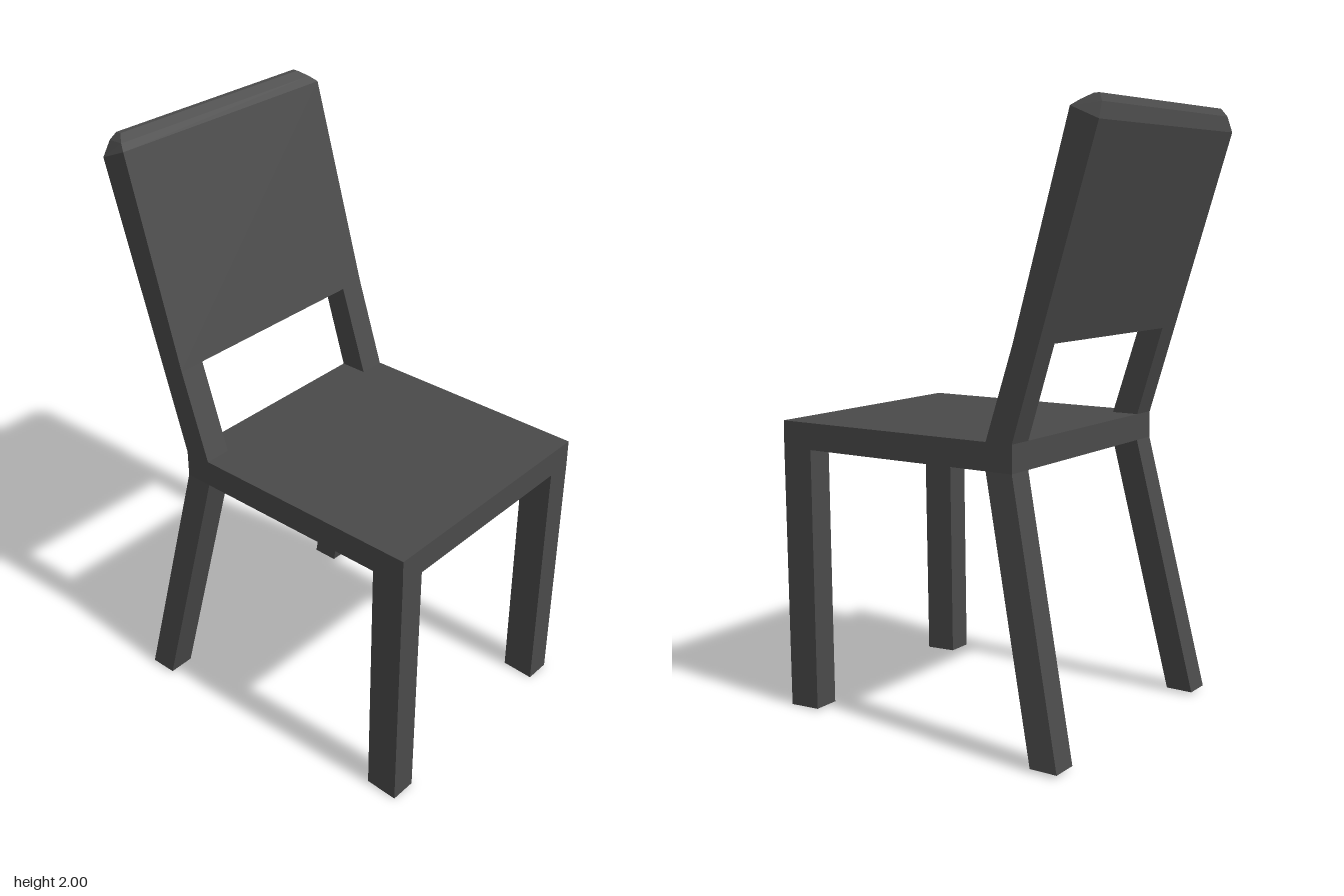
import * as THREE from 'three';

const material = new THREE.MeshStandardMaterial({ color: 0x4a4a4a, flatShading: true });

// Four-sided section: back edge at (xb, yb), front edge at (xf, yf), spanning z0..z1
function section(xb, yb, xf, yf, z0, z1, zf0 = z0, zf1 = z1) {
  return [[xb, yb, z1], [xf, yf, zf1], [xf, yf, zf0], [xb, yb, z0]];
}

// Joins sections from bottom to top and closes both ends
function loft(name, sections) {
  const pos = [];
  const quad = (a, b, c, d) => pos.push(...a, ...b, ...c, ...a, ...c, ...d);
  for (let s = 0; s < sections.length - 1; s++) {
    const lo = sections[s], hi = sections[s + 1];
    for (let i = 0; i < 4; i++) {
      const j = (i + 1) % 4;
      quad(lo[i], lo[j], hi[j], hi[i]);
    }
  }
  const b = sections[0], t = sections[sections.length - 1];
  quad(b[3], b[2], b[1], b[0]);
  quad(t[0], t[1], t[2], t[3]);
  const geo = new THREE.BufferGeometry();
  geo.setAttribute('position', new THREE.Float32BufferAttribute(pos, 3));
  geo.computeVertexNormals();
  const mesh = new THREE.Mesh(geo, material);
  mesh.name = name;
  return mesh;
}

export function createModel() {
  const chair = new THREE.Group();
  chair.name = 'chair';
  const W = 0.436, IN = 0.345;

  // Seat slab
  chair.add(loft('seat', [
    section(-0.31, 0.89, 0.6, 0.89, -W, W),
    section(-0.31, 0.98, 0.6, 0.98, -W, W),
  ]));

  for (const side of [1, -1]) {
    const label = side > 0 ? 'Left' : 'Right';
    const span = (a, b) => (side > 0 ? [a, b] : [-b, -a]);

    // Front leg, leaning very slightly back
    chair.add(loft('frontLeg' + label, [
      section(0.475, 0.005, 0.588, 0, ...span(IN, W)),
      section(0.485, 0.89, 0.6, 0.89, ...span(IN, W)),
    ]));

    // Rear leg, raked backwards and splayed outwards
    chair.add(loft('rearLeg' + label, [
      section(-0.507, 0.01, -0.412, 0.01, ...span(0.401, 0.492)),
      section(-0.31, 0.89, -0.215, 0.89, ...span(IN, W)),
    ]));

    // Post carrying the backrest
    chair.add(loft('backPost' + label, [
      section(-0.31, 0.98, -0.215, 0.98, ...span(IN, W)),
      section(-0.402, 1.28, -0.312, 1.28, ...span(IN, W)),
    ]));
  }

  // Backrest panel with a bevelled top edge
  chair.add(loft('backrest', [
    section(-0.402, 1.28, -0.312, 1.28, -W, W),
    section(-0.6, 1.925, -0.505, 1.965, -W, W),
    section(-0.594, 1.975, -0.53, 1.982, -0.41, 0.41, -0.42, 0.42),
    section(-0.578, 2, -0.56, 2, -0.395, 0.395),
  ]));

  return chair;
}
